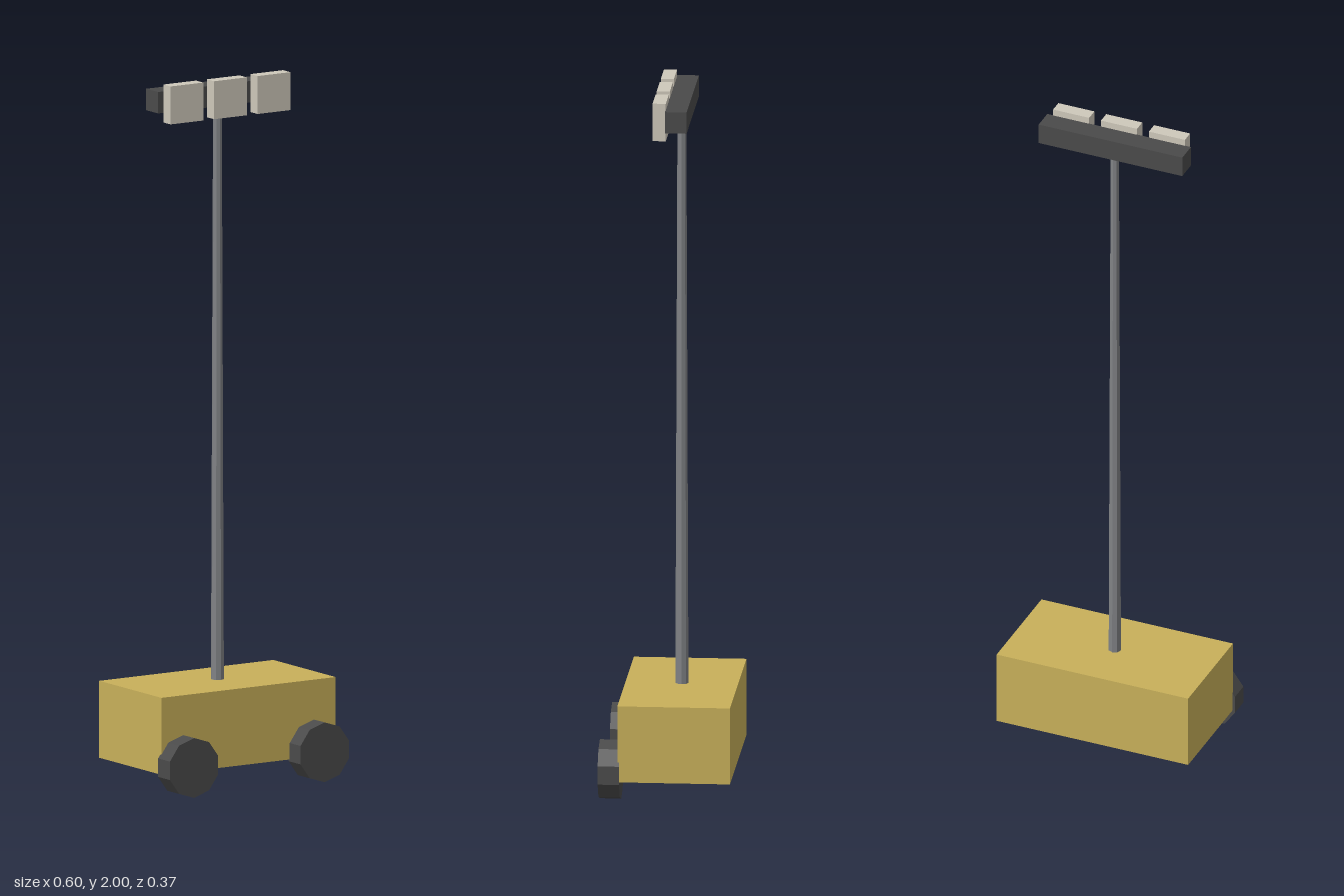
import * as THREE from 'three';

const material = (name, color) => {
  const m = new THREE.MeshStandardMaterial({ color, flatShading: true });
  m.name = name;
  return m;
};

export function createModel() {
  const yellow = material('body yellow', 0xc8b05a);
  const dark = material('dark grey', 0x4a4a4a);
  const steel = material('mast steel', 0x808285);
  const lampWhite = material('lamp white', 0xcec8ba);

  const model = new THREE.Group();
  model.name = 'mobileLightTower';

  const add = (name, geometry, mat, x, y, z) => {
    const mesh = new THREE.Mesh(geometry, mat);
    mesh.name = name;
    mesh.position.set(x, y, z);
    model.add(mesh);
    return mesh;
  };

  // Generator body
  add('body', new THREE.BoxGeometry(0.584, 0.219, 0.316), yellow, 0, 0.174, -0.029);

  // Ten-sided wheels on the front face
  const wheel = new THREE.CylinderGeometry(0.085, 0.085, 0.06, 10).rotateX(Math.PI / 2);
  add('leftWheel', wheel, dark, 0.219, 0.085, 0.154);
  add('rightWheel', wheel, dark, -0.219, 0.085, 0.154);

  // Tapered mast
  add('mast', new THREE.CylinderGeometry(0.0125, 0.0185, 1.65, 8), steel, 0, 1.107, -0.029);

  // Crossbar and its three lamps
  add('crossbar', new THREE.BoxGeometry(0.438, 0.061, 0.061), dark, 0, 1.95, -0.029);
  const lamp = new THREE.BoxGeometry(0.11, 0.108, 0.037);
  for (const [name, x] of [['rightLamp', -0.146], ['middleLamp', 0], ['leftLamp', 0.146]]) {
    add(name, lamp, lampWhite, x, 1.946, 0.019);
  }

  return model;
}
